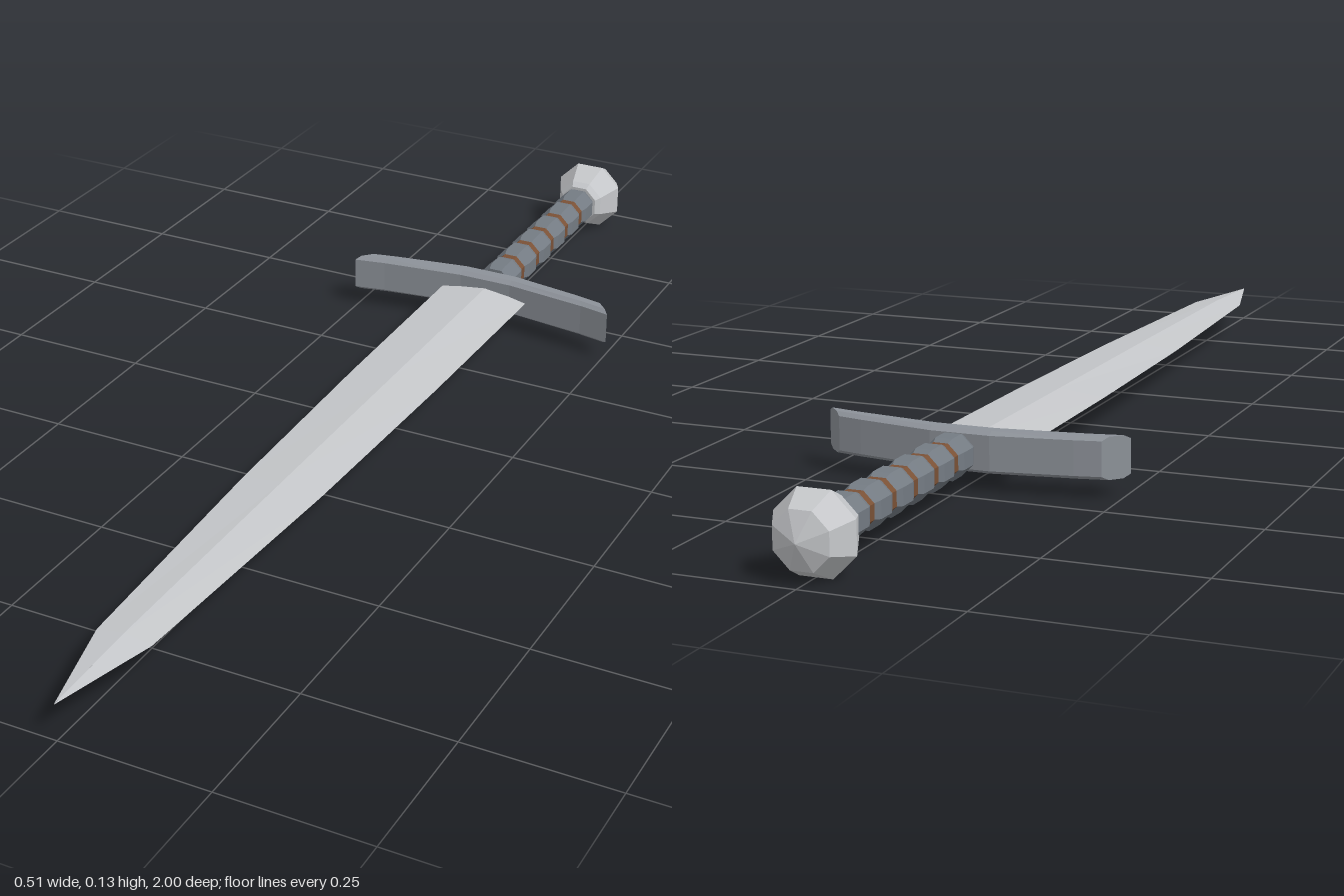
import * as THREE from 'three';

const CY = 0.063; // height of the dagger's long axis

const material = (color) => new THREE.MeshStandardMaterial({ color, flatShading: true });
const steel = material(0xc6c8cb);
const guardSteel = material(0x8d9299);
const gripGrey = material(0x747b83);
const bandBrown = material(0x7a5136);

// Joins equal-sized rings of [x, y, z] points, wound right-handed about the path, and caps both ends.
function loft(rings) {
  const n = rings[0].length;
  const last = (rings.length - 1) * n;
  const index = [];
  for (let k = 0; k < last; k += n) {
    for (let i = 0; i < n; i++) {
      const j = (i + 1) % n;
      index.push(k + i, k + j, k + n + j, k + i, k + n + j, k + n + i);
    }
  }
  for (let i = 1; i < n - 1; i++) {
    index.push(0, i + 1, i, last, last + i, last + i + 1);
  }
  const geometry = new THREE.BufferGeometry();
  geometry.setAttribute('position', new THREE.Float32BufferAttribute(rings.flat(2), 3));
  geometry.setIndex(index);
  const flat = geometry.toNonIndexed();
  flat.computeVertexNormals();
  return flat;
}

// Eight-sided turned part along z, from [radius, z] pairs in order of rising z.
function turned(profile) {
  const points = profile.map(([r, z]) => new THREE.Vector2(r, z));
  return new THREE.LatheGeometry(points, 8, Math.PI / 8).rotateX(Math.PI / 2);
}

export function createModel() {
  const model = new THREE.Group();
  const add = (name, geometry, mat, parent = model) => {
    const mesh = new THREE.Mesh(geometry, mat);
    mesh.name = name;
    parent.add(mesh);
    return mesh;
  };

  // Blade: diamond section tapering to a point; [z, half width, half thickness]
  const bladeStations = [
    [-0.45, 0.085, 0.011], [-0.05, 0.081, 0.01], [0.35, 0.071, 0.0095],
    [0.82, 0.047, 0.0075], [1, 0.0005, 0.0005],
  ];
  const blade = loft(bladeStations.map(([z, w, t]) => [[w, 0, z], [0, t, z], [-w, 0, z], [0, -t, z]]));
  add('blade', blade, steel).position.y = CY;

  // Crossguard: bevelled bar swept towards the blade; [front x, front z, back x, back z]
  const half = [[0.05, -0.43, 0.05, -0.467], [0.2, -0.411, 0.18, -0.445], [0.256, -0.4, 0.222, -0.436]];
  const guardStations = [...half.map(([fx, fz, bx, bz]) => [-fx, fz, -bx, bz]).reverse(), ...half];
  // Section corners: [share of the way from front to back, height]
  const section = [
    [0.75, 0.034], [0.25, 0.034], [0, 0.028], [0, -0.028],
    [0.25, -0.034], [0.75, -0.034], [1, -0.028], [1, 0.028],
  ];
  const guard = loft(guardStations.map(([fx, fz, bx, bz]) =>
    section.map(([f, y]) => [fx + (bx - fx) * f, y, fz + (bz - fz) * f])));
  add('crossguard', guard, guardSteel).position.y = CY;

  // Grip: six swollen segments separated by thin brown bands
  const grip = new THREE.Group();
  grip.name = 'grip';
  grip.position.y = CY;
  model.add(grip);
  const segment = 0.057, band = 0.014, gripEnd = -0.89;
  for (let i = 0; i < 6; i++) {
    const z = gripEnd + i * (segment + band);
    add('gripSegment', turned([
      [0, z], [0.031, z], [0.036, z + 0.012], [0.036, z + segment - 0.012], [0.031, z + segment], [0, z + segment],
    ]), gripGrey, grip);
    if (i < 5) add('gripBand', turned([[0.031, z + segment], [0.031, z + segment + band]]), bandBrown, grip);
  }

  // Pommel: faceted knob
  const pommel = turned([
    [0, -1], [0.0465, -0.983], [0.068, -0.942], [0.0465, -0.897], [0.038, -0.887], [0, -0.887],
  ]);
  add('pommel', pommel, steel).position.y = CY;

  return model;
}
